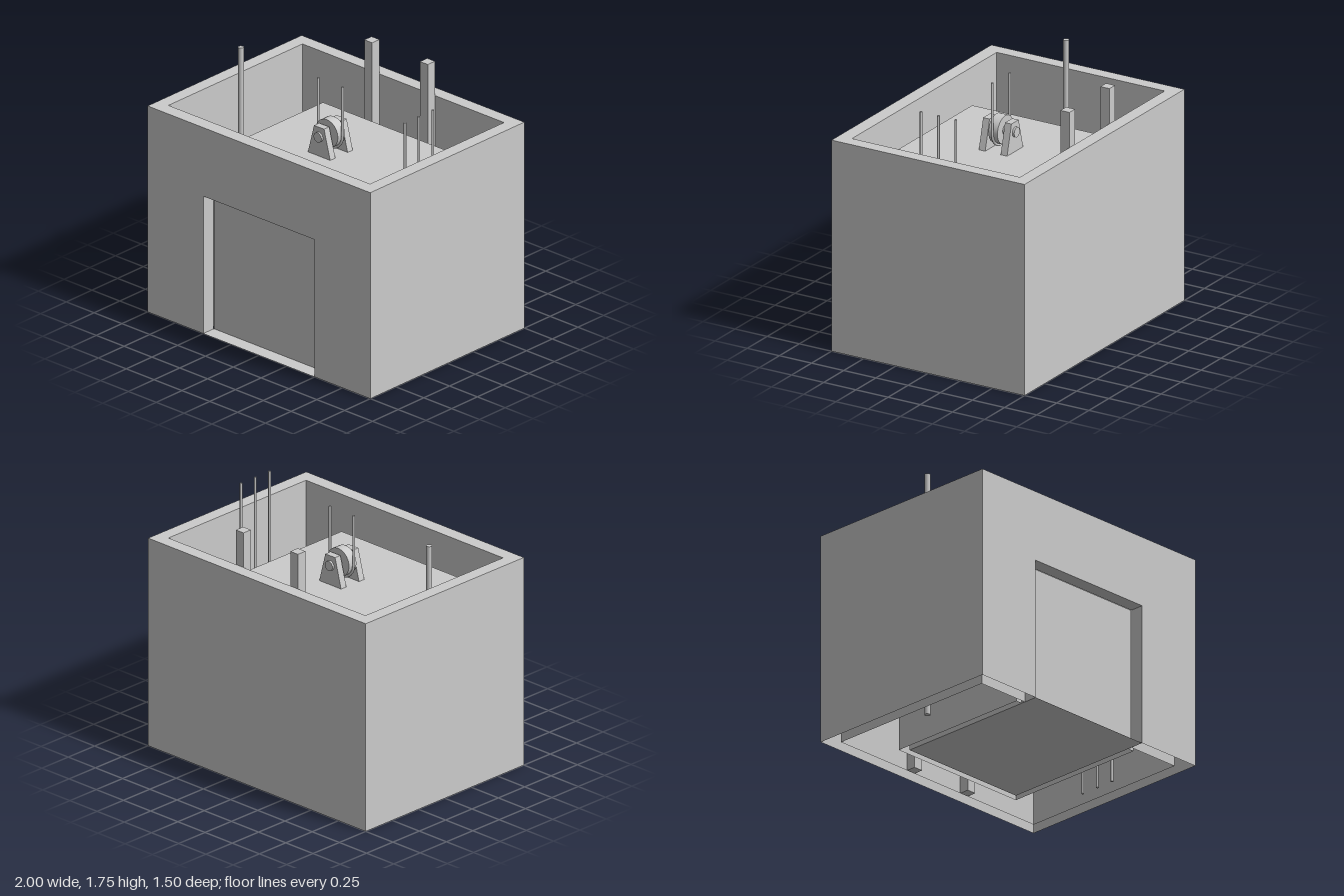
import * as THREE from 'three';

const material = new THREE.MeshStandardMaterial({ color: 0xcccccc, side: THREE.DoubleSide });

function add(parent, name, geometry, x = 0, y = 0, z = 0) {
  const mesh = new THREE.Mesh(geometry, material);
  mesh.name = name;
  mesh.position.set(x, y, z);
  parent.add(mesh);
  return mesh;
}

// Box given by its limits on each axis
function block(parent, name, [x0, x1], [y0, y1], [z0, z1]) {
  return add(parent, name, new THREE.BoxGeometry(x1 - x0, y1 - y0, z1 - z0),
    (x0 + x1) / 2, (y0 + y1) / 2, (z0 + z1) / 2);
}

// Upright round bar from y0 to y1
function bar(parent, name, x, z, radius, y0, y1) {
  return add(parent, name, new THREE.CylinderGeometry(radius, radius, y1 - y0, 16), x, (y0 + y1) / 2, z);
}

// Remove the faces lying on the ground, leaving hollow walls open below
function openBottom(geometry) {
  const p = geometry.attributes.position;
  const kept = [];
  for (let i = 0; i < p.count; i += 3) {
    const onGround = [0, 1, 2].every((k) => Math.abs(p.getY(i + k)) < 1e-5);
    if (!onGround) kept.push(i, i + 1, i + 2);
  }
  geometry.setIndex(kept);
  return geometry;
}

// Walls around a rectangular plan with a doorway gap in the front one
function wallsWithDoorway(halfX, back, front, inX, inBack, inFront, door, height) {
  const plan = [
    [door, front], [halfX, front], [halfX, back], [-halfX, back], [-halfX, front], [-door, front],
    [-door, inFront], [-inX, inFront], [-inX, inBack], [inX, inBack], [inX, inFront], [door, inFront],
  ].map(([x, z]) => new THREE.Vector2(x, -z));
  const geometry = new THREE.ExtrudeGeometry(new THREE.Shape(plan), { depth: height, bevelEnabled: false });
  geometry.rotateX(-Math.PI / 2);
  return openBottom(geometry);
}

export function createModel() {
  const model = new THREE.Group();
  model.name = 'elevatorShaft';
  const top = 1.75;

  // Shaft walls and the wall above the doorway
  const shaft = new THREE.Group();
  shaft.name = 'shaft';
  model.add(shaft);
  add(shaft, 'shaftWalls', wallsWithDoorway(1, -0.75, 0.75, 0.905, -0.655, 0.65, 0.5, 1.5));
  block(shaft, 'doorwayLintel', [-0.5, 0.5], [1, 1.5], [0.65, 0.75]);

  // Car with roof, floor reaching the threshold, and closed door
  const car = new THREE.Group();
  car.name = 'car';
  model.add(car);
  add(car, 'carWalls', wallsWithDoorway(0.55, -0.47, 0.62, 0.5, -0.42, 0.57, 0.499, 1.2));
  block(car, 'carRoof', [-0.55, 0.55], [1.2, 1.25], [-0.47, 0.62]);
  block(car, 'carLintel', [-0.499, 0.499], [1, 1.2], [0.57, 0.62]);
  block(car, 'carDoor', [-0.5, 0.5], [0.001, 1], [0.62, 0.648]);
  const floor = new THREE.PlaneGeometry(1, 1.17).rotateX(-Math.PI / 2);
  add(car, 'carFloorAndThreshold', floor, 0, 0, 0.165);

  // Pulley on the car roof
  const pulley = new THREE.Group();
  pulley.name = 'pulley';
  pulley.position.set(0, 1.39, 0.055);
  model.add(pulley);
  const side = new THREE.Shape([[-0.1, -0.14], [0.1, -0.14], [0.045, 0.07], [-0.045, 0.07]]
    .map(([x, y]) => new THREE.Vector2(x, y)));
  const bracket = new THREE.ExtrudeGeometry(side, { depth: 0.05, bevelEnabled: false }).translate(0, 0, -0.025);
  for (const z of [-0.085, 0.085]) add(pulley, 'pulleyBracket', bracket, 0, 0, z);
  const roller = (r, length) => new THREE.CylinderGeometry(r, r, length, 32).rotateX(Math.PI / 2);
  add(pulley, 'pulleyAxle', roller(0.035, 0.25));
  add(pulley, 'pulleyWheel', roller(0.1, 0.07));

  // Hoist rope passing under the wheel
  const bend = new THREE.TorusGeometry(0.109, 0.009, 10, 32, Math.PI).rotateZ(Math.PI);
  add(pulley, 'hoistRopeBend', bend);
  for (const x of [-0.109, 0.109]) bar(model, 'hoistRope', x, 0.055, 0.009, 1.39, top);

  // Guide rails, side ropes and the side pole
  for (const x of [-0.25, 0.25]) {
    block(model, 'guideRail', [x - 0.035, x + 0.035], [0, top], [-0.655, -0.585]);
  }
  for (const z of [-0.085, 0.05, 0.185]) bar(model, 'sideRope', 0.79, z, 0.009, 0, top);
  bar(model, 'sidePole', -0.808, 0.05, 0.02, 0, top);

  return model;
}
